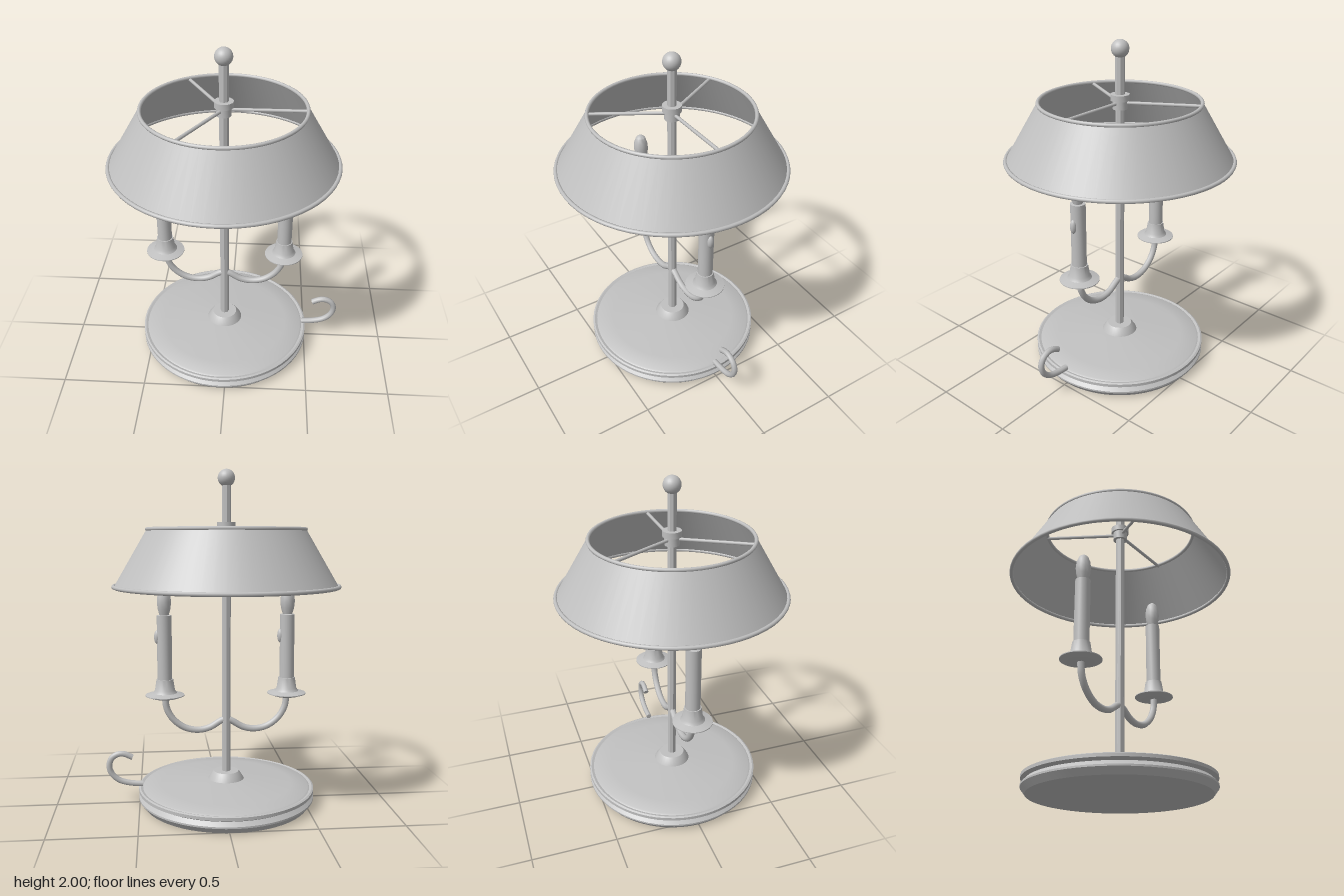
import * as THREE from 'three';
import { toCreasedNormals } from 'three/addons/utils/BufferGeometryUtils.js';

export function createModel() {
  const lamp = new THREE.Group();
  lamp.name = 'tableLamp';
  const metal = new THREE.MeshStandardMaterial({ color: 0xc0c0c0, side: THREE.DoubleSide });
  metal.name = 'grey metal';

  // Everything turns around the post, which stands a little left of the origin
  const body = new THREE.Group();
  body.name = 'lampBody';
  body.position.x = -0.03;
  lamp.add(body);

  const add = (name, geometry, parent = body) => {
    const mesh = new THREE.Mesh(geometry, metal);
    mesh.name = name;
    parent.add(mesh);
    return mesh;
  };
  const lathe = (points, segments = 48, crease = 0.5) => toCreasedNormals(
    new THREE.LatheGeometry(points.map(([r, y]) => new THREE.Vector2(r, y)), segments), crease);
  const ring = (name, radius, tube, y) => {
    const mesh = add(name, new THREE.TorusGeometry(radius, tube, 8, 64));
    mesh.rotation.x = Math.PI / 2;
    mesh.position.y = y;
  };
  // Bent rod with closed ends, drawn in the x-y plane
  const rod = (name, points, radius) => {
    const curve = new THREE.CatmullRomCurve3(points.map(([x, y]) => new THREE.Vector3(x, y, 0)));
    add(name, new THREE.TubeGeometry(curve, 28, radius, 8, false));
    for (const t of [0, 1]) {
      const cap = add(name + 'End', new THREE.CircleGeometry(radius, 8));
      const p = curve.getPoint(t);
      const d = curve.getTangent(t).multiplyScalar(t ? 1 : -1);
      cap.position.copy(p);
      cap.quaternion.setFromUnitVectors(new THREE.Vector3(0, 0, 1), d);
    }
  };

  // Base dish with grooved edge, gently rising top and central collar
  add('base', lathe([
    [0, 0], [0.508, 0], [0.535, 0.035], [0.535, 0.045], [0.513, 0.068], [0.535, 0.08],
    [0.535, 0.098], [0.525, 0.103], [0.51, 0.098], [0.5, 0.104], [0.4, 0.115], [0.28, 0.126],
    [0.18, 0.135], [0.11, 0.14],
  ], 64));
  add('baseCollar', lathe([[0.113, 0.125], [0.108, 0.14], [0.083, 0.178], [0.076, 0.186], [0, 0.186]], 32));

  // Post, hub and finial
  add('post', toCreasedNormals(new THREE.CylinderGeometry(0.027, 0.027, 1.76, 8), 0.5)).position.y = 1.03;
  add('hub', lathe([[0, 1.61], [0.043, 1.61], [0.043, 1.66], [0.055, 1.66], [0.055, 1.695], [0, 1.695]], 24));
  add('finialBall', new THREE.SphereGeometry(0.051, 24, 16)).position.y = 1.949;

  // Conical shade, its rims and the three spokes holding it
  add('shade', new THREE.CylinderGeometry(0.467, 0.66, 0.33, 64, 1, true)).position.y = 1.487;
  ring('shadeLowerRim', 0.663, 0.012, 1.323);
  ring('shadeUpperRim', 0.464, 0.011, 1.654);
  for (let i = 0; i < 3; i++) {
    const spoke = new THREE.Group();
    spoke.name = 'spoke';
    spoke.rotation.y = i * Math.PI * 2 / 3;
    body.add(spoke);
    const bar = add('spokeBar', new THREE.CylinderGeometry(0.01, 0.01, 0.44, 8), spoke);
    bar.rotation.z = Math.PI / 2;
    bar.position.set(0.245, 1.645, 0);
  }

  // Two candle arms
  for (const side of [-1, 1]) {
    rod('arm', [
      [0, 0.515], [0.035, 0.5], [0.1, 0.461], [0.17, 0.447], [0.25, 0.463],
      [0.32, 0.515], [0.36, 0.585], [0.37, 0.66],
    ].map(([x, y]) => [x * side, y]), 0.02);

    const candle = new THREE.Group();
    candle.name = 'candle';
    candle.position.x = 0.37 * side;
    body.add(candle);
    add('dripCup', lathe([
      [0, 0.652], [0.08, 0.652], [0.117, 0.665], [0.117, 0.67], [0.072, 0.682],
      [0.06, 0.7], [0.05, 0.765], [0, 0.765],
    ], 32), candle);
    add('candleSleeve', lathe([[0.044, 0.76], [0.044, 1.15], [0.03, 1.152], [0, 1.152]], 20), candle);
    add('flameBulb', lathe([
      [0.028, 1.15], [0.04, 1.19], [0.044, 1.23], [0.04, 1.27], [0.028, 1.302], [0.013, 1.314], [0, 1.316],
    ], 10, 0.7), candle);
    const knob = add('switchKnob', new THREE.SphereGeometry(1, 12, 10), candle);
    knob.scale.set(0.02, 0.043, 0.02);
    knob.position.set(0.041, 1.02, 0);
  }

  // Hooked carrying handle on the edge of the base
  rod('handle', [
    [0.51, 0.117], [0.59, 0.125], [0.655, 0.146], [0.7, 0.19], [0.712, 0.24],
    [0.695, 0.285], [0.655, 0.308], [0.62, 0.307], [0.572, 0.285],
  ], 0.018);

  return lamp;
}
